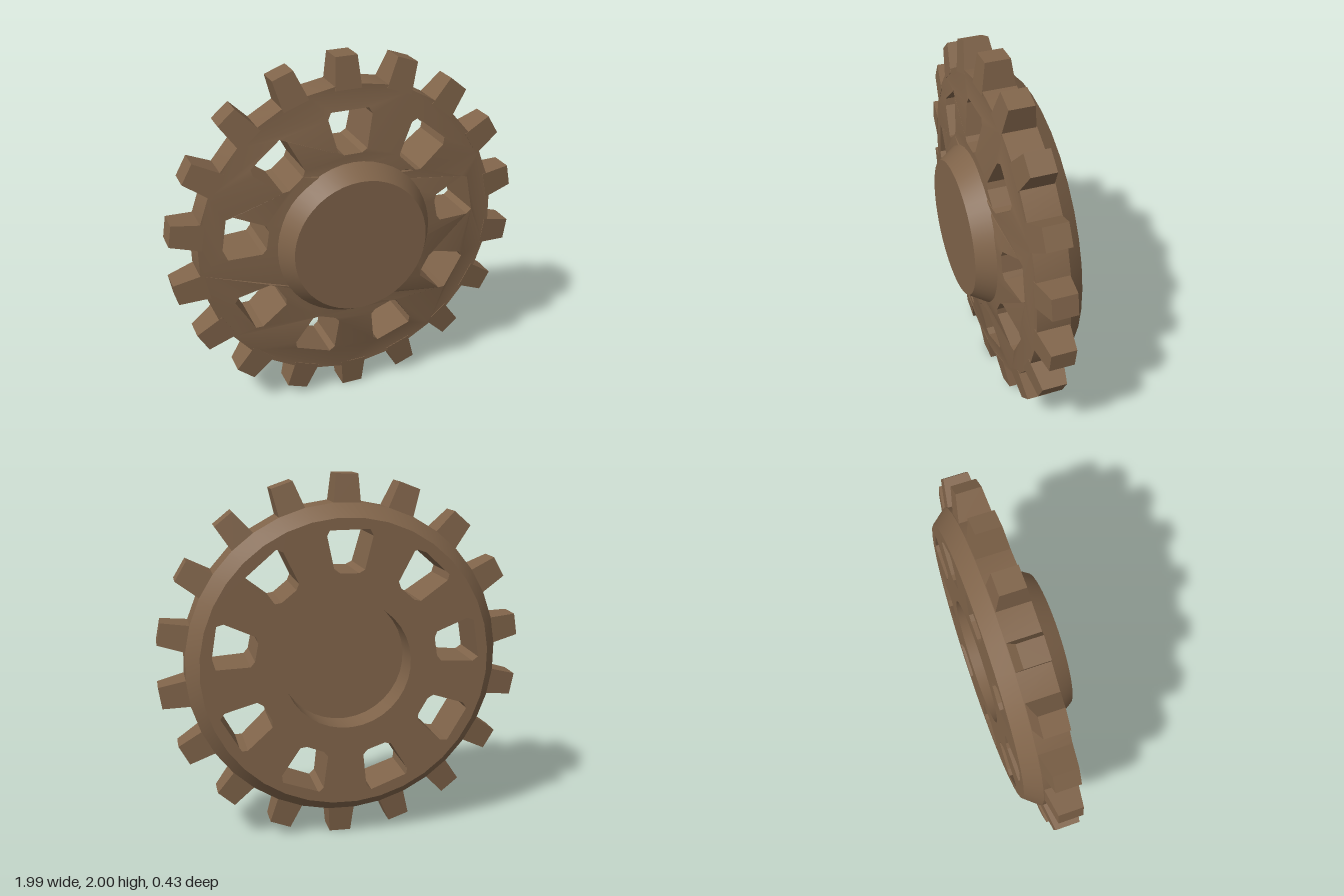
import * as THREE from 'three';
import { toCreasedNormals } from 'three/addons/utils/BufferGeometryUtils.js';

const TEETH = 18, HOLES = 9;
const ROOT = 0.855, BACK_R = 0.785, RECESS_R = 0.35;
const BACK_Z = -0.21, BEVEL_Z = -0.125;

// The front face is a shallow cone
const frontZ = (r) => 0.115 - 0.143 * (r - 0.44);

// Points at a fixed radius, with polygon edges centred on the gaps between teeth
function ring(radius, count) {
  const pts = [];
  for (let i = 0; i < count; i++) {
    const a = Math.PI / 2 + ((i + 0.5) / count) * Math.PI * 2;
    pts.push(new THREE.Vector2(Math.cos(a) * radius, Math.sin(a) * radius));
  }
  return pts;
}

// Moves every vertex with a rule
function deform(geometry, rule) {
  const p = geometry.attributes.position;
  const v = new THREE.Vector3();
  for (let i = 0; i < p.count; i++) {
    rule(v.fromBufferAttribute(p, i));
    p.setXYZ(i, v.x, v.y, v.z);
  }
  geometry.computeVertexNormals();
  return geometry;
}

// Disc with tapered windows, bevelled back rim and open centre
function discGeometry() {
  const shape = new THREE.Shape(ring(ROOT, TEETH * 2));
  shape.holes.push(new THREE.Path(ring(RECESS_R, 36)));
  const half = [[0.05, 0.495], [0.082, 0.513], [0.123, 0.69], [0.105, 0.725]];
  const outline = [...half, ...half.map(([x, y]) => [-x, y]).reverse()];
  const origin = new THREE.Vector2();
  for (let i = 0; i < HOLES; i++) {
    const a = (i / HOLES) * Math.PI * 2;
    shape.holes.push(new THREE.Path(
      outline.map(([x, y]) => new THREE.Vector2(x, y).rotateAround(origin, a))));
  }
  const geo = new THREE.ExtrudeGeometry(shape, { depth: 1, steps: 2, bevelEnabled: false });
  deform(geo, (v) => {
    const r = Math.hypot(v.x, v.y);
    if (v.z > 0.75) v.z = frontZ(r);
    else if (v.z > 0.25) v.z = BEVEL_Z;
    else {
      v.z = BACK_Z;
      if (r > 0.8) { v.x *= BACK_R / r; v.y *= BACK_R / r; }
    }
  });
  return toCreasedNormals(geo, 0.45);
}

// Tooth narrowing towards its tip
function toothGeometry() {
  return deform(new THREE.BoxGeometry(1, 1, 1), (v) => {
    const tip = v.y > 0;
    v.y = tip ? 1 : 0.83;
    v.x *= tip ? 0.12 : 0.148;
    v.z = v.z > 0 ? frontZ(v.y) : (tip ? -0.1 : BEVEL_Z);
  });
}

export function createModel() {
  const brown = new THREE.MeshStandardMaterial({ color: 0x80644a });
  brown.name = 'brown';

  const wheel = new THREE.Group();
  wheel.name = 'wheel';
  const add = (name, geometry) => {
    const mesh = new THREE.Mesh(geometry, brown);
    mesh.name = name;
    wheel.add(mesh);
    return mesh;
  };

  add('disc', discGeometry());

  // Raised hub on the front
  const profile = [[0.45, 0.098], [0.44, 0.115], [0.378, 0.213], [0, 0.213]]
    .map(([r, z]) => new THREE.Vector2(r, z));
  const hub = new THREE.LatheGeometry(profile, 48).rotateX(Math.PI / 2);
  add('hub', toCreasedNormals(hub, 0.45));

  // Floor of the round recess in the back
  const floor = add('recessFloor', new THREE.CircleGeometry(RECESS_R + 0.005, 36).rotateY(Math.PI));
  floor.position.z = -0.045;

  // Ring of teeth
  const tooth = toothGeometry();
  for (let i = 0; i < TEETH; i++) {
    add('tooth', tooth).rotation.z = (i / TEETH) * Math.PI * 2;
  }

  // Slight turn and lean of the whole wheel
  wheel.rotation.set(0.009, 0, 0.021);
  wheel.position.y = 1;

  const model = new THREE.Group();
  model.name = 'cogwheel';
  model.add(wheel);
  return model;
}
